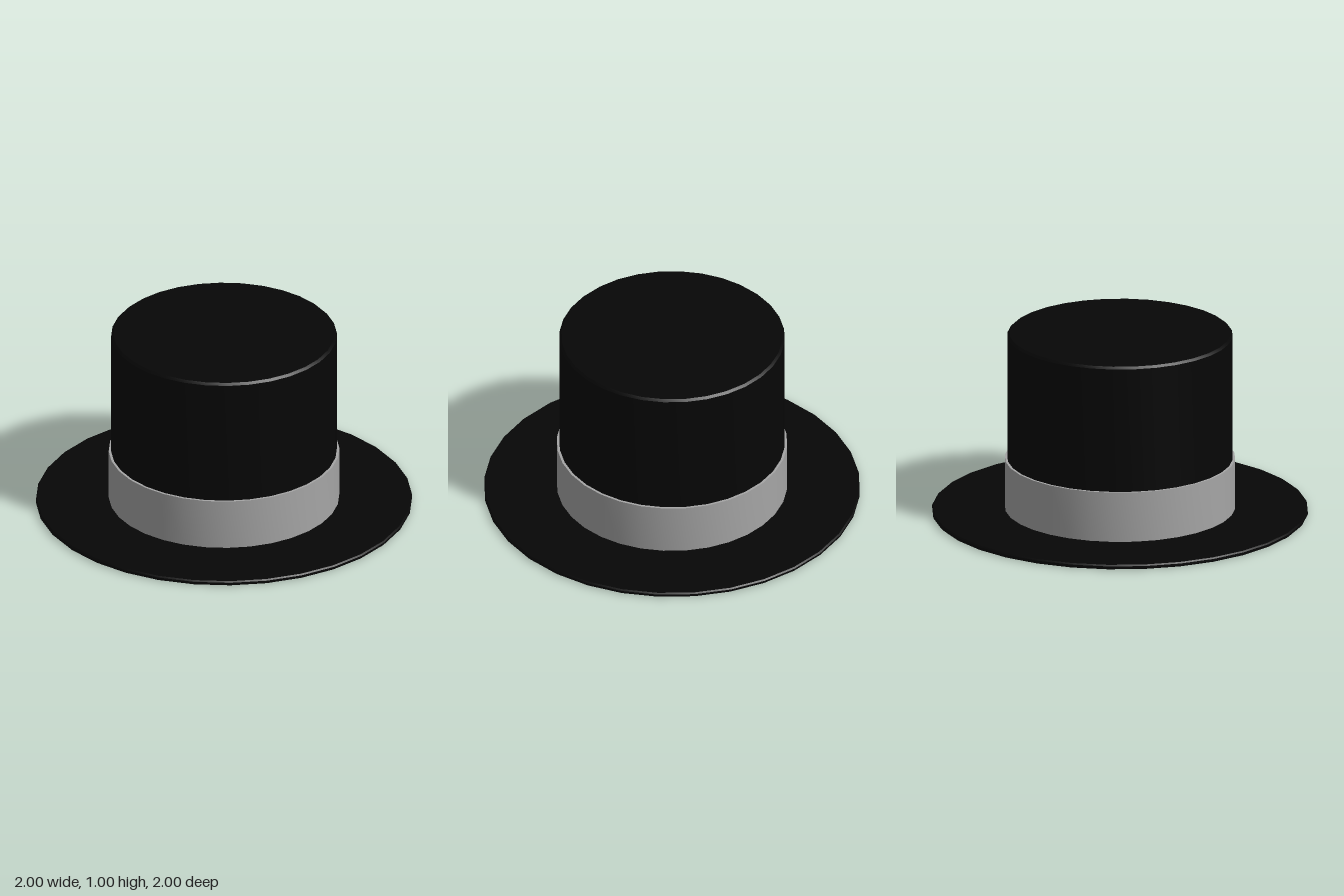
import * as THREE from 'three';
import { toCreasedNormals } from 'three/addons/utils/BufferGeometryUtils.js';

const felt = new THREE.MeshStandardMaterial({ color: 0x060606 });
felt.name = 'black felt';
const ribbon = new THREE.MeshStandardMaterial({ color: 0xa5a5a5 });
ribbon.name = 'grey ribbon';

// Revolve a [radius, height] profile, keeping hard edges crisp
function turned(name, profile, material) {
  const points = profile.map(([r, y]) => new THREE.Vector2(r, y));
  const geometry = toCreasedNormals(new THREE.LatheGeometry(points, 32), 0.6);
  const mesh = new THREE.Mesh(geometry, material);
  mesh.name = name;
  return mesh;
}

export function createModel() {
  const hat = new THREE.Group();
  hat.name = 'topHat';

  // Crown: shallow tapering hollow underneath, flat top with a small bevel
  hat.add(turned('crown', [
    [0, 0.27], [0.22, 0.27], [0.55, 0.02], [0.57, 0.01],
    [0.6, 0.01], [0.6, 0.988], [0.588, 1], [0, 1],
  ], felt));

  // Brim: thin ring with softened edges
  hat.add(turned('brim', [
    [0.56, 0.01], [0.57, 0], [0.993, 0], [1, 0.007],
    [1, 0.018], [0.993, 0.025], [0.57, 0.025],
  ], felt));

  // Band: ribbon standing slightly proud of the crown
  hat.add(turned('band', [
    [0.595, 0.03], [0.613, 0.03], [0.613, 0.305], [0.595, 0.305],
  ], ribbon));

  return hat;
}
